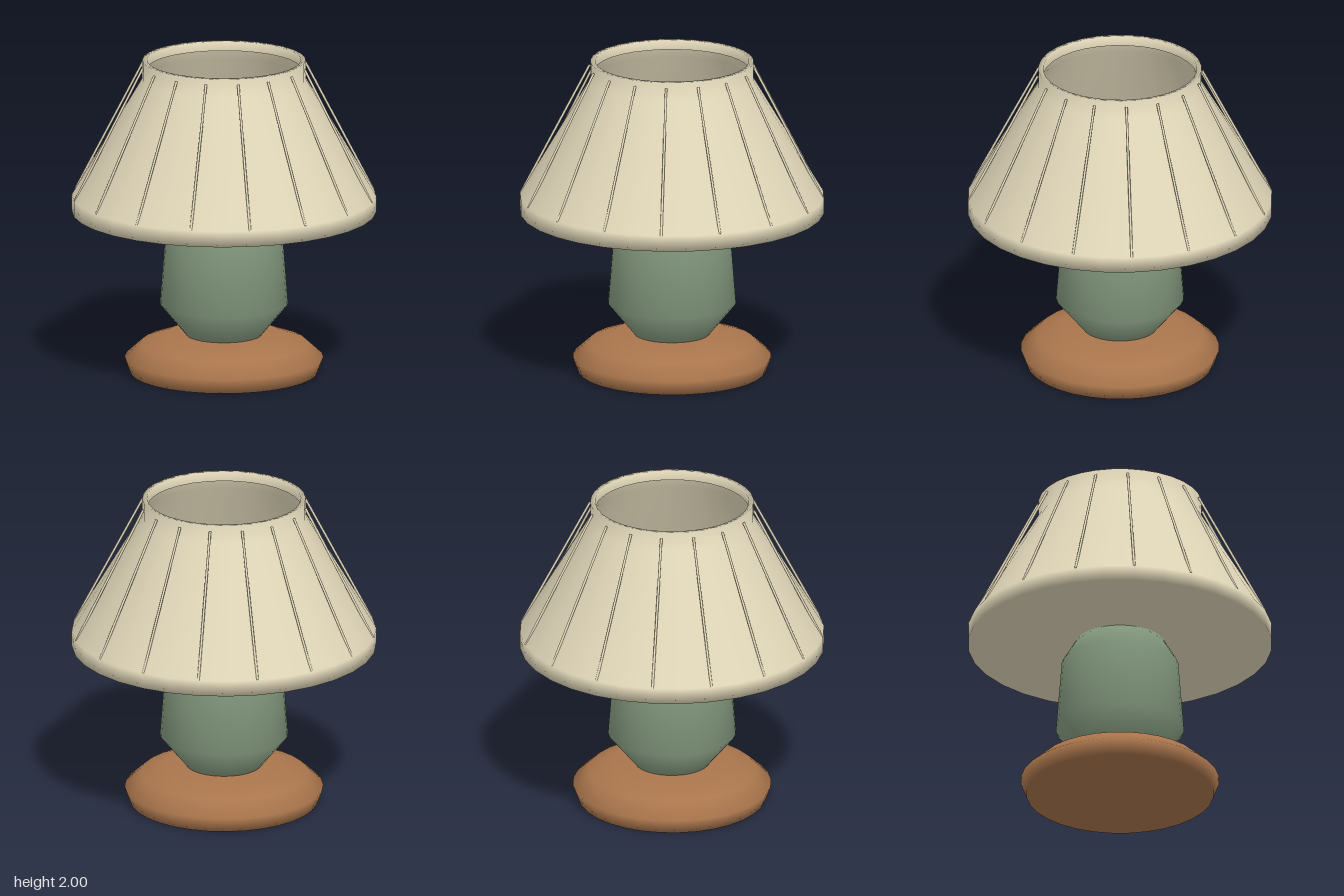
import * as THREE from 'three';

const material = (color, side = THREE.FrontSide) => {
  const m = new THREE.MeshStandardMaterial({ color });
  m.side = side;
  return m;
};

// Smooth turned part from [radius, height] pairs, listed bottom to top
function turned(name, profile, segments, mat) {
  const points = profile.map(([r, y]) => new THREE.Vector2(r, y));
  const mesh = new THREE.Mesh(new THREE.LatheGeometry(points, segments), mat);
  mesh.name = name;
  return mesh;
}

// Thin straight rod between two points
function rod(name, from, to, radius, mat) {
  const dir = to.clone().sub(from);
  const mesh = new THREE.Mesh(new THREE.CylinderGeometry(radius, radius, dir.length(), 8), mat);
  mesh.position.copy(from).addScaledVector(dir, 0.5);
  mesh.quaternion.setFromUnitVectors(new THREE.Vector3(0, 1, 0), dir.normalize());
  mesh.name = name;
  return mesh;
}

export function createModel() {
  const lamp = new THREE.Group();
  lamp.name = 'tableLamp';

  const wood = material(0xa9754c);
  const ceramic = material(0x80957b);
  const cream = material(0xe2d8ba);
  const creamThin = material(0xe2d8ba, THREE.DoubleSide);

  // Wide foot
  lamp.add(turned('base', [
    [0, 0], [0.585, 0], [0.62, 0.095], [0.52, 0.185], [0.37, 0.24], [0, 0.24],
  ], 32, wood));

  // Faceted vase-shaped body, its top just poking through the shade floor
  lamp.add(turned('body', [
    [0, 0.22], [0.22, 0.22], [0.235, 0.24], [0.4, 0.44], [0.365, 0.885], [0.275, 1.04], [0, 1.04],
  ], 32, ceramic));

  // Shade: closed floor, short skirt, cone, collar and an inward lip
  const shade = new THREE.Group();
  shade.name = 'shade';
  shade.add(turned('shadeShell', [
    [0, 1.03], [0.95, 1.03], [0.95, 1.13], [0.51, 1.88], [0.51, 2], [0.48, 2], [0.48, 1.94],
  ], 32, creamThin));

  // Ribs standing slightly off the cone
  const ribs = 16;
  for (let i = 0; i < ribs; i++) {
    const a = (i / ribs) * Math.PI * 2;
    const at = (r, y) => new THREE.Vector3(r * Math.sin(a), y, r * Math.cos(a));
    shade.add(rod('shadeRib', at(0.945, 1.13), at(0.515, 1.965), 0.008, cream));
  }
  lamp.add(shade);

  return lamp;
}
